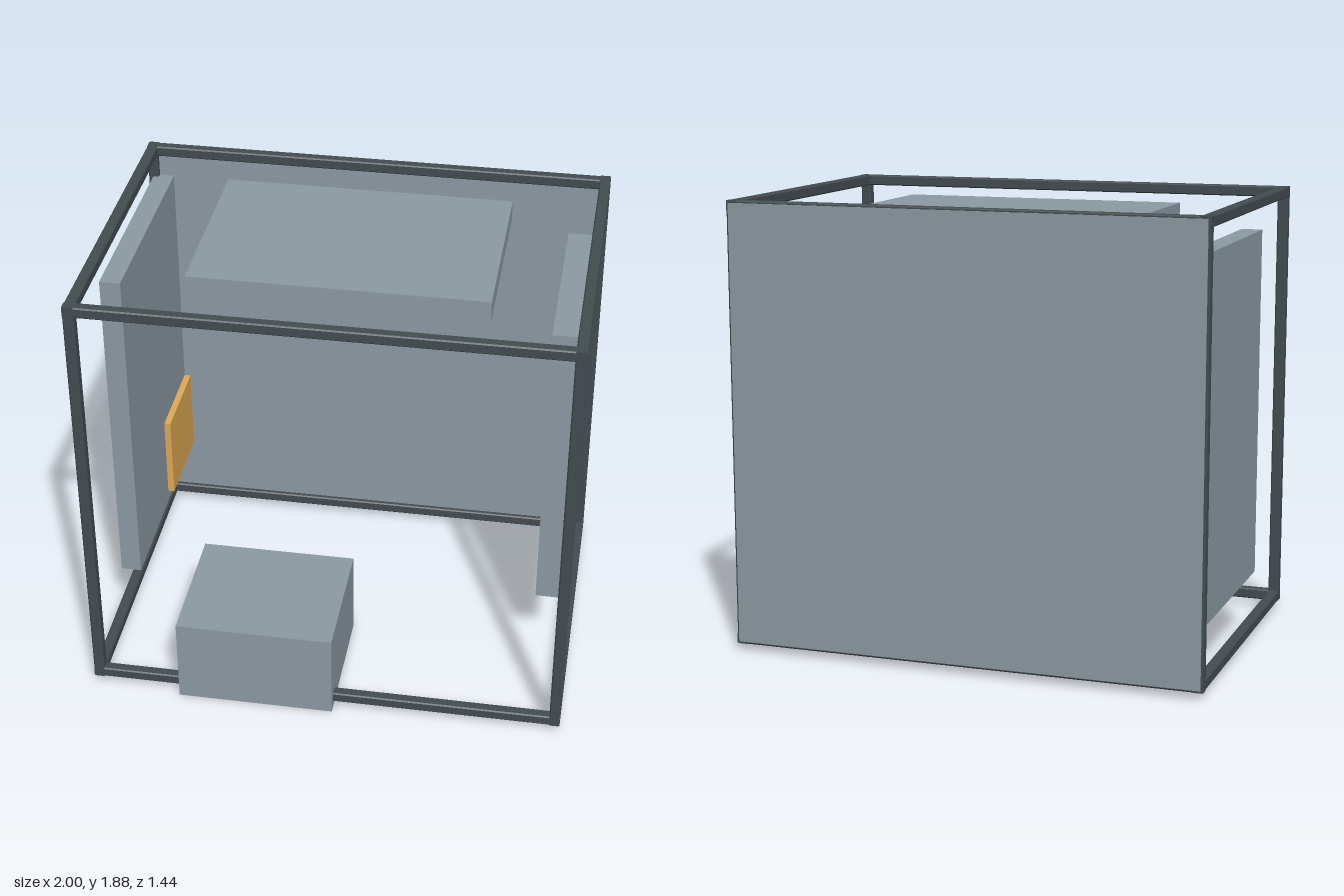
import * as THREE from 'three';

const panelMat = new THREE.MeshStandardMaterial({ color: 0x8c9aa3 });
const frameMat = new THREE.MeshStandardMaterial({ color: 0x434c50, flatShading: true });
const accentMat = new THREE.MeshStandardMaterial({ color: 0xdfa954 });

// Box given by its [min, max] range on each axis
function slab(name, [x0, x1], [y0, y1], [z0, z1], material = panelMat) {
  const mesh = new THREE.Mesh(new THREE.BoxGeometry(x1 - x0, y1 - y0, z1 - z0), material);
  mesh.position.set((x0 + x1) / 2, (y0 + y1) / 2, (z0 + z1) / 2);
  mesh.name = name;
  return mesh;
}

// Square bar with slightly chamfered edges, centred and running along z
function barGeometry(width, length) {
  const h = width / 2, c = 0.005, k = h - c;
  const corners = [[h, -k], [h, k], [k, h], [-k, h], [-h, k], [-h, -k], [-k, -h], [k, -h]];
  const shape = new THREE.Shape(corners.map(([x, y]) => new THREE.Vector2(x, y)));
  return new THREE.ExtrudeGeometry(shape, { depth: length, bevelEnabled: false })
    .translate(0, 0, -length / 2);
}

// Twelve bars along the edges of a box
function createFrame(size, center, width) {
  const frame = new THREE.Group();
  frame.name = 'frame';
  frame.position.set(...center);
  const names = ['crossBar', 'post', 'sideBar'];
  for (let axis = 0; axis < 3; axis++) {
    const geometry = barGeometry(width, size[axis]);
    if (axis === 0) geometry.rotateY(Math.PI / 2);
    if (axis === 1) geometry.rotateX(Math.PI / 2);
    const u = (axis + 1) % 3, v = (axis + 2) % 3;
    for (const su of [-1, 1]) {
      for (const sv of [-1, 1]) {
        const bar = new THREE.Mesh(geometry, frameMat);
        const p = [0, 0, 0];
        p[u] = su * (size[u] - width) / 2;
        p[v] = sv * (size[v] - width) / 2;
        bar.position.set(...p);
        bar.name = names[axis];
        frame.add(bar);
      }
    }
  }
  return frame;
}

export function createModel() {
  const model = new THREE.Group();
  model.name = 'framedCabinet';
  model.add(
    // Open frame
    createFrame([2, 1.85, 1.405], [0, 0.955, -0.0125], 0.045),
    // Closed back and floating panels
    slab('backPanel', [-0.99, 0.99], [0.04, 1.87], [-0.72, -0.69]),
    slab('topPanel', [-0.61, 0.605], [1.735, 1.83], [-0.52, 0.305]),
    slab('rightPanel', [-0.98, -0.893], [0.27, 1.735], [-0.7, 0.245]),
    slab('leftPanel', [0.842, 0.953], [0.335, 1.65], [-0.61, 0.217]),
    // Base box and coloured plate
    slab('baseBox', [-0.62, 0.04], [0, 0.38], [0.15, 0.72]),
    slab('accentPlate', [-0.893, -0.865], [0.32, 0.695], [-0.7, -0.285], accentMat)
  );
  return model;
}
